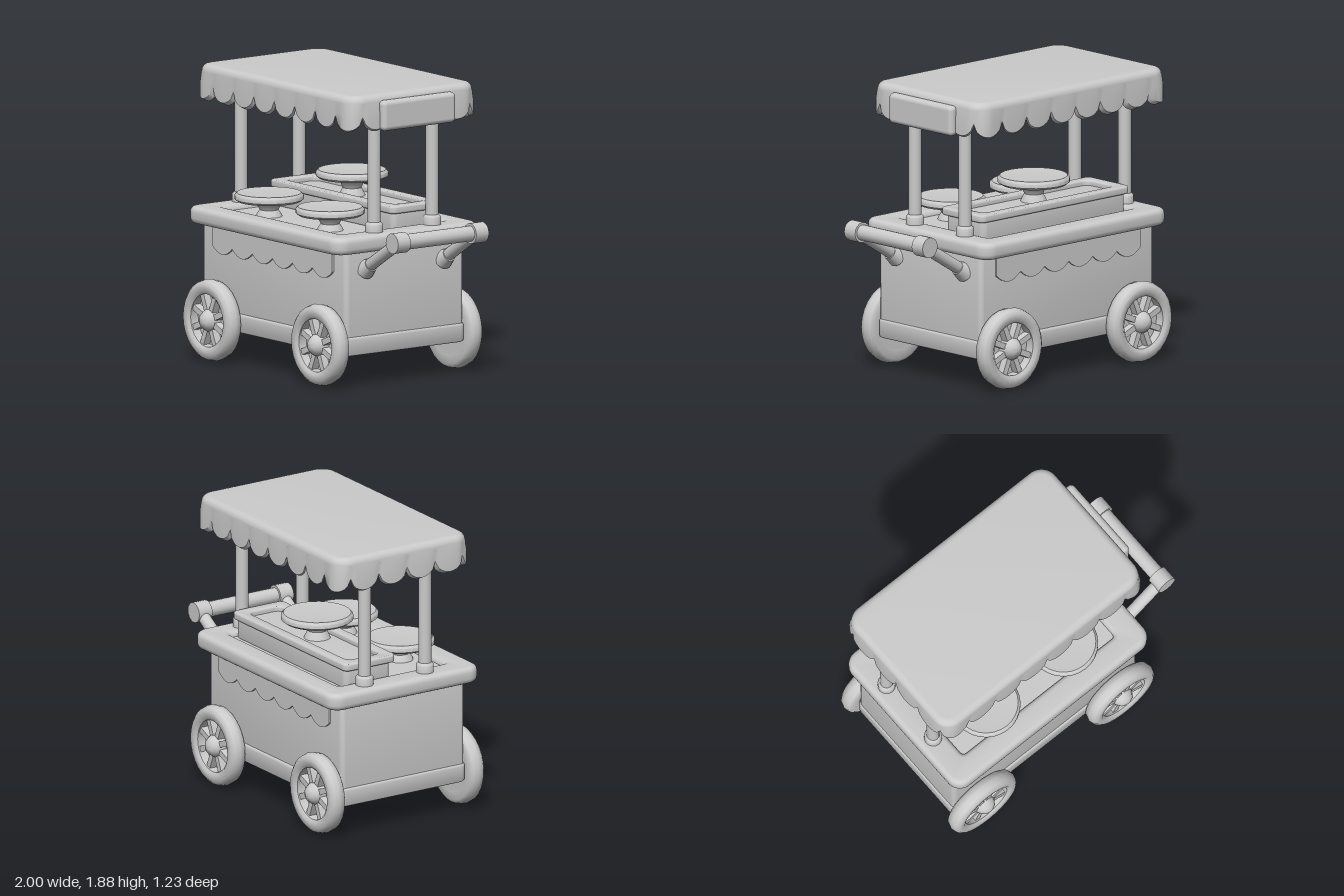
import * as THREE from 'three';
import { toCreasedNormals } from 'three/addons/utils/BufferGeometryUtils.js';
import { RoundedBoxGeometry } from 'three/addons/geometries/RoundedBoxGeometry.js';

const grey = new THREE.MeshStandardMaterial({ color: 0xcccccc });
const MID_X = -0.17; // middle of the cart body

function add(parent, name, geometry, x = 0, y = 0, z = 0) {
  const mesh = new THREE.Mesh(geometry, grey);
  mesh.name = name;
  mesh.position.set(x, y, z);
  parent.add(mesh);
  return mesh;
}

// Rounded rectangle centred on the origin; the path may start part-way along its first side
function roundRect(Type, w, d, r, startX = -w / 2 + r) {
  const x = w / 2, y = d / 2, p = new Type();
  p.moveTo(startX, -y);
  p.lineTo(x - r, -y);
  p.absarc(x - r, -y + r, r, -Math.PI / 2, 0);
  p.lineTo(x, y - r);
  p.absarc(x - r, y - r, r, 0, Math.PI / 2);
  p.lineTo(-x + r, y);
  p.absarc(-x + r, y - r, r, Math.PI / 2, Math.PI);
  p.lineTo(-x, -y + r);
  p.absarc(-x + r, -y + r, r, Math.PI, Math.PI * 1.5);
  p.lineTo(startX, -y);
  return p;
}

// Horizontal slab with softened edges, from y = 0 to h, optionally with a rounded opening
function slab(w, d, h, r, bevel, opening) {
  const shape = roundRect(THREE.Shape, w - 2 * bevel, d - 2 * bevel, r);
  if (opening) shape.holes.push(roundRect(THREE.Path, opening[0], opening[1], 0.06));
  const g = new THREE.ExtrudeGeometry(shape, {
    depth: h - 2 * bevel, bevelSize: bevel, bevelThickness: bevel, bevelSegments: 4, curveSegments: 6,
  });
  g.translate(0, 0, bevel).rotateX(-Math.PI / 2);
  return toCreasedNormals(g, 0.7);
}

function lathe(points, segments = 28) {
  const g = new THREE.LatheGeometry(points.map(([r, y]) => new THREE.Vector2(r, y)), segments);
  return toCreasedNormals(g, 0.8);
}

// Rod between two points
function rod(parent, name, a, b, r0, r1 = r0) {
  const from = new THREE.Vector3(...a), dir = new THREE.Vector3(...b).sub(from);
  const m = add(parent, name, new THREE.CylinderGeometry(r1, r0, dir.length(), 16));
  m.position.copy(from).addScaledVector(dir, 0.5);
  m.quaternion.setFromUnitVectors(new THREE.Vector3(0, 1, 0), dir.normalize());
  return m;
}

// Scalloped skirt following the roof outline: outer, lower and inner loops of one wall
function valanceGeometry() {
  const scallops = 24, per = 10, n = scallops * per;
  const outer = roundRect(THREE.Path, 1.65, 1.01, 0.11, -0.63).getSpacedPoints(n);
  const inner = roundRect(THREE.Path, 1.57, 0.93, 0.09, -0.6).getSpacedPoints(n);
  const pos = [], index = [], rows = 5;
  for (let i = 0; i <= n; i++) {
    const s = Math.sqrt(Math.sin(Math.PI * (i % per) / per));
    const low = 1.735 - 0.085 * s, o = outer[i], q = inner[i];
    const swell = 1 + 0.012 * s;
    pos.push(o.x, 1.84, -o.y, o.x * swell, 1.77, -o.y * swell, o.x * swell, low + 0.015, -o.y * swell,
      (o.x + q.x) / 2, low, -(o.y + q.y) / 2, q.x, 1.82, -q.y);
  }
  for (let i = 0; i < n; i++) for (let k = 0; k < rows - 1; k++) {
    const a = i * rows + k, b = a + rows;
    index.push(a, a + 1, b, b, a + 1, b + 1);
  }
  const g = new THREE.BufferGeometry();
  g.setAttribute('position', new THREE.Float32BufferAttribute(pos, 3));
  g.setIndex(index);
  return toCreasedNormals(g, 0.7);
}

// Cloth panel with a scalloped lower edge
function drapeGeometry() {
  const s = new THREE.Shape(), n = 6, w = 1.26 / n;
  s.moveTo(-0.63, 0.88);
  s.lineTo(-0.63, 0.74);
  for (let i = 0; i < n; i++) {
    const x = -0.63 + i * w;
    s.quadraticCurveTo(x + w / 2, 0.64, x + w, 0.74);
  }
  s.lineTo(0.63, 0.88);
  return new THREE.ExtrudeGeometry(s, { depth: 0.018, bevelEnabled: false, curveSegments: 8 });
}

function makeWheel() {
  const wheel = new THREE.Group();
  wheel.name = 'wheel';
  const tyre = lathe([[0.17, -0.05], [0.23, -0.055], [0.252, -0.04], [0.262, 0], [0.252, 0.035],
    [0.23, 0.055], [0.19, 0.055], [0.17, 0.04], [0.17, -0.05]]);
  add(wheel, 'tyre', tyre.rotateX(Math.PI / 2));
  add(wheel, 'wheelBack', new THREE.CylinderGeometry(0.18, 0.18, 0.03, 28).rotateX(Math.PI / 2), 0, 0, -0.035);
  for (let i = 0; i < 8; i++) {
    const spoke = new THREE.BoxGeometry(0.14, 0.038, 0.05).translate(0.11, 0, 0);
    add(wheel, 'spoke', spoke, 0, 0, 0.005).rotation.z = (i + 0.5) * Math.PI / 4;
  }
  const hub = lathe([[0.07, -0.04], [0.07, 0.035], [0.06, 0.05], [0.045, 0.07], [0.02, 0.082], [0, 0.085]], 16);
  add(wheel, 'hub', hub.rotateX(Math.PI / 2));
  return wheel;
}

// Round serving plate on a flared foot, standing on y = 0
function makeStand(radius, foot, x, y, z) {
  const g = lathe([[0, 0], [0.085, 0], [0.08, 0.015], [0.06, foot * 0.45], [0.075, foot * 0.75], [0.12, foot],
    [radius - 0.02, foot], [radius, foot + 0.015], [radius, foot + 0.04], [radius - 0.015, foot + 0.055],
    [radius - 0.04, foot + 0.052], [0, foot + 0.055]]);
  return [g, x, y, z];
}

export function createModel() {
  const cart = new THREE.Group();
  cart.name = 'foodCart';

  // Body, base and cloth trim
  add(cart, 'body', slab(1.51, 0.94, 0.68, 0.02, 0.012), MID_X, 0.215, 0);
  add(cart, 'base', slab(1.53, 0.965, 0.125, 0.03, 0.02), MID_X, 0.21, 0);
  for (const side of [1, -1]) {
    const drape = add(cart, 'clothTrim', drapeGeometry(), MID_X, 0, side * 0.465);
    if (side < 0) drape.rotation.y = Math.PI;
  }

  // Counter with a sunken top
  add(cart, 'counterRim', slab(1.61, 1.14, 0.11, 0.06, 0.035, [1.32, 0.88]), MID_X, 0.87, 0);
  add(cart, 'counterFloor', new THREE.BoxGeometry(1.4, 0.06, 0.95), MID_X, 0.915, 0);

  // Raised shelf at the back
  add(cart, 'shelfBody', slab(1.25, 0.35, 0.14, 0.03, 0.012), MID_X, 0.94, -0.18);
  add(cart, 'shelfRim', slab(1.3, 0.39, 0.05, 0.03, 0.012, [1.16, 0.27]), MID_X, 1.063, -0.175);

  // Serving stands
  for (const [g, x, y, z] of [
    makeStand(0.22, 0.1, -0.49, 0.943, 0.265),
    makeStand(0.22, 0.1, 0.15, 0.943, 0.265),
    makeStand(0.23, 0.115, -0.175, 1.078, -0.155),
  ]) add(cart, 'servingStand', g, x, y, z);

  // Posts with collars
  for (const x of [-0.87, 0.525]) for (const z of [0.2, -0.26]) {
    add(cart, 'post', new THREE.CylinderGeometry(0.042, 0.042, 0.88, 16), x, 1.39, z);
    add(cart, 'postCollar', lathe([[0, 0], [0.057, 0], [0.057, 0.06], [0.042, 0.075]], 16), x, 0.97, z);
  }

  // Roof
  add(cart, 'roof', slab(1.65, 1.01, 0.115, 0.07, 0.045), MID_X, 1.768, -0.03);
  add(cart, 'valance', valanceGeometry(), MID_X, 0, -0.03).material =
    new THREE.MeshStandardMaterial({ color: 0xcccccc, side: THREE.DoubleSide });
  add(cart, 'endPanel', new RoundedBoxGeometry(0.07, 0.195, 0.58, 4, 0.03), 0.672, 1.75, -0.03);

  // Push handle
  for (const z of [0.31, -0.31]) {
    rod(cart, 'handleArm', [0.56, 0.75, z], [0.93, 0.975, z], 0.04);
    rod(cart, 'handleSocket', [0.575, 0.755, z], [0.64, 0.795, z], 0.065, 0.045);
    rod(cart, 'handleCollar', [0.925, 0.975, z - 0.05], [0.925, 0.975, z + 0.05], 0.066);
  }
  rod(cart, 'handleGrip', [0.925, 0.975, -0.3], [0.925, 0.975, 0.3], 0.05);

  // Wheels
  for (const x of [-0.74, 0.395]) for (const side of [1, -1]) {
    const wheel = makeWheel();
    wheel.position.set(x, 0.27, side * 0.53);
    if (side < 0) wheel.rotation.y = Math.PI;
    cart.add(wheel);
  }
  return cart;
}
